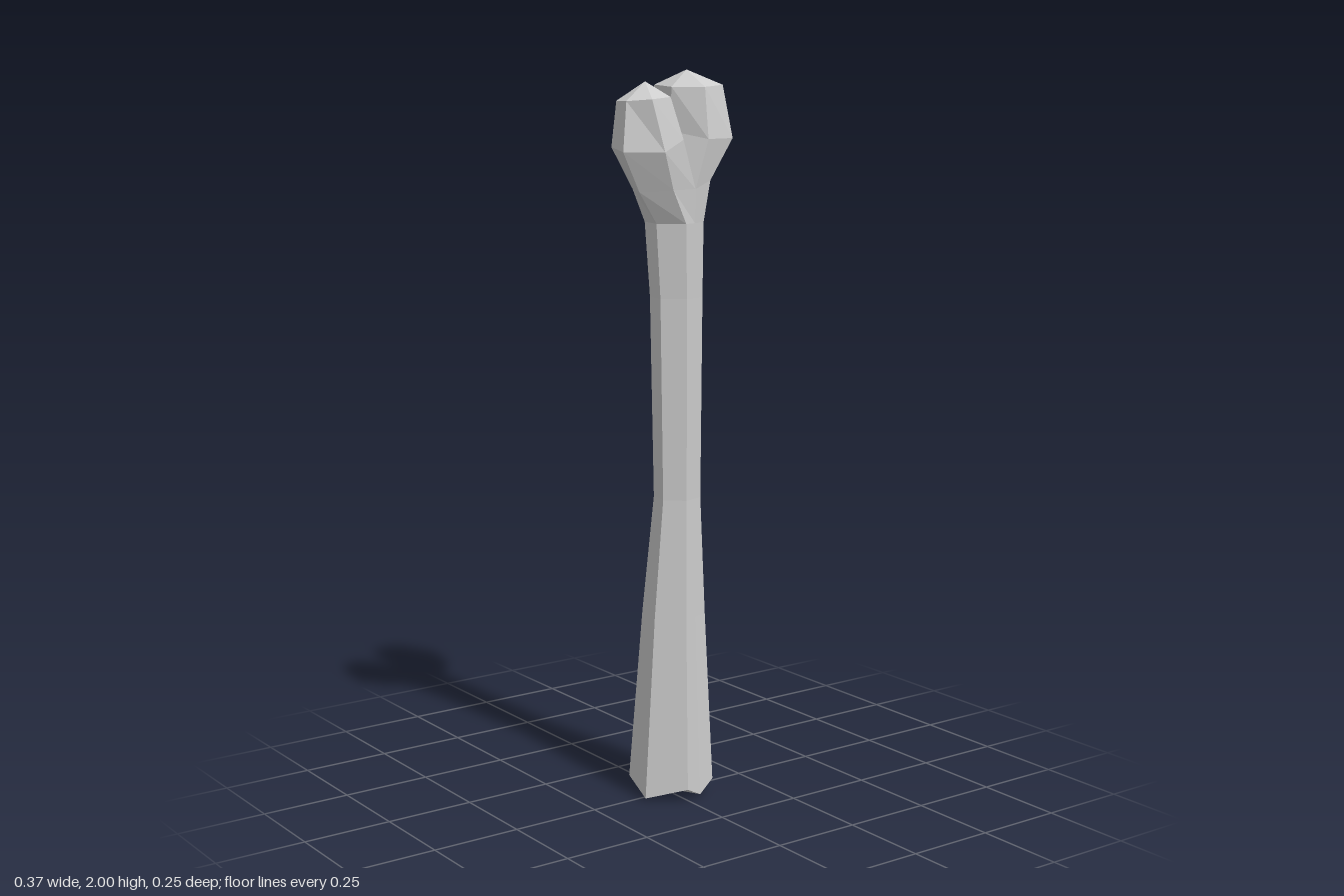
import * as THREE from 'three';

// Joins rings of equal length with flat faces; optional end points close the tube.
function loft(name, material, rings, bottom, top) {
  const pos = [];
  const tri = (a, b, c) => pos.push(...a, ...b, ...c);
  const n = rings[0].length;
  for (let r = 0; r < rings.length - 1; r++) {
    for (let i = 0; i < n; i++) {
      const j = (i + 1) % n;
      const [a, b, c, d] = [rings[r][i], rings[r][j], rings[r + 1][j], rings[r + 1][i]];
      tri(a, d, c);
      tri(a, c, b);
    }
  }
  const last = rings[rings.length - 1];
  for (let i = 0; i < n; i++) {
    const j = (i + 1) % n;
    if (bottom) tri(bottom, rings[0][i], rings[0][j]);
    if (top) tri(top, last[j], last[i]);
  }
  const geometry = new THREE.BufferGeometry();
  geometry.setAttribute('position', new THREE.Float32BufferAttribute(pos, 3));
  geometry.computeVertexNormals();
  const mesh = new THREE.Mesh(geometry, material);
  mesh.name = name;
  return mesh;
}

// Six corners plus the middles of the two sides where the fork opens.
const ANGLES = [-78, -18, 42, 72, 102, 162, 222, 252];
function shaftRing(y, cx, cz, radius, drop = 0) {
  return ANGLES.map((deg, i) => {
    const a = THREE.MathUtils.degToRad(deg);
    const r = i === 3 || i === 7 ? radius * Math.cos(Math.PI / 6) : radius;
    const low = i % 2 === 1 && drop ? drop : 0;
    return [cx + r * Math.cos(a), y - low, cz + r * Math.sin(a)];
  });
}

export function createModel() {
  const group = new THREE.Group();
  group.name = 'bone';
  const bone = new THREE.MeshStandardMaterial({ color: 0xcccccc });
  bone.name = 'bone grey';

  // Fork: shared crotch points, then three outer corners for each branch
  const front = [0.022, 1.69, 0.092];
  const back = [-0.02, 1.69, -0.05];
  const middle = [0, 1.81, 0.01];
  const highNeck = [[0.04, 1.72, -0.072], [0.104, 1.71, 0], [0.083, 1.71, 0.075]];
  const lowNeck = [[-0.06, 1.69, 0.106], [-0.13, 1.685, 0.05], [-0.103, 1.69, -0.02]];

  // Shaft with a notched lower end
  group.add(loft('shaft', bone, [
    shaftRing(0.037, 0.015, -0.01, 0.118, 0.03),
    shaftRing(0.52, 0.015, 0.003, 0.087),
    shaftRing(0.85, 0.016, 0.018, 0.064),
    shaftRing(1.4, 0.011, 0.02, 0.071),
    shaftRing(1.6, 0.004, 0.02, 0.079),
    [...highNeck, front, ...lowNeck, back],
  ], [0.015, 0, -0.01]));

  // Taller knob on the left
  group.add(loft('tallKnob', bone, [
    [...highNeck, front, middle, back],
    [[0.1, 1.86, -0.128], [0.185, 1.84, -0.042], [0.157, 1.82, 0.075],
      [0.058, 1.82, 0.1], [0.002, 1.84, 0.004], [0.003, 1.86, -0.1]],
    [[0.1, 1.965, -0.108], [0.157, 1.965, -0.04], [0.145, 1.96, 0.046],
      [0.063, 1.955, 0.077], [0.004, 1.955, 0.008], [0.018, 1.96, -0.09]],
  ], null, [0.07, 2, -0.015]));

  // Shorter knob on the right
  group.add(loft('shortKnob', bone, [
    [...lowNeck, back, middle, front],
    [[-0.1, 1.79, 0.125], [-0.187, 1.79, 0.06], [-0.163, 1.8, -0.03],
      [-0.068, 1.83, -0.06], [-0.01, 1.84, 0.01], [-0.027, 1.82, 0.105]],
    [[-0.127, 1.925, 0.105], [-0.172, 1.92, 0.053], [-0.157, 1.92, -0.015],
      [-0.08, 1.93, -0.037], [-0.033, 1.93, 0.016], [-0.055, 1.93, 0.086]],
  ], null, [-0.097, 1.97, 0.03]));

  return group;
}
